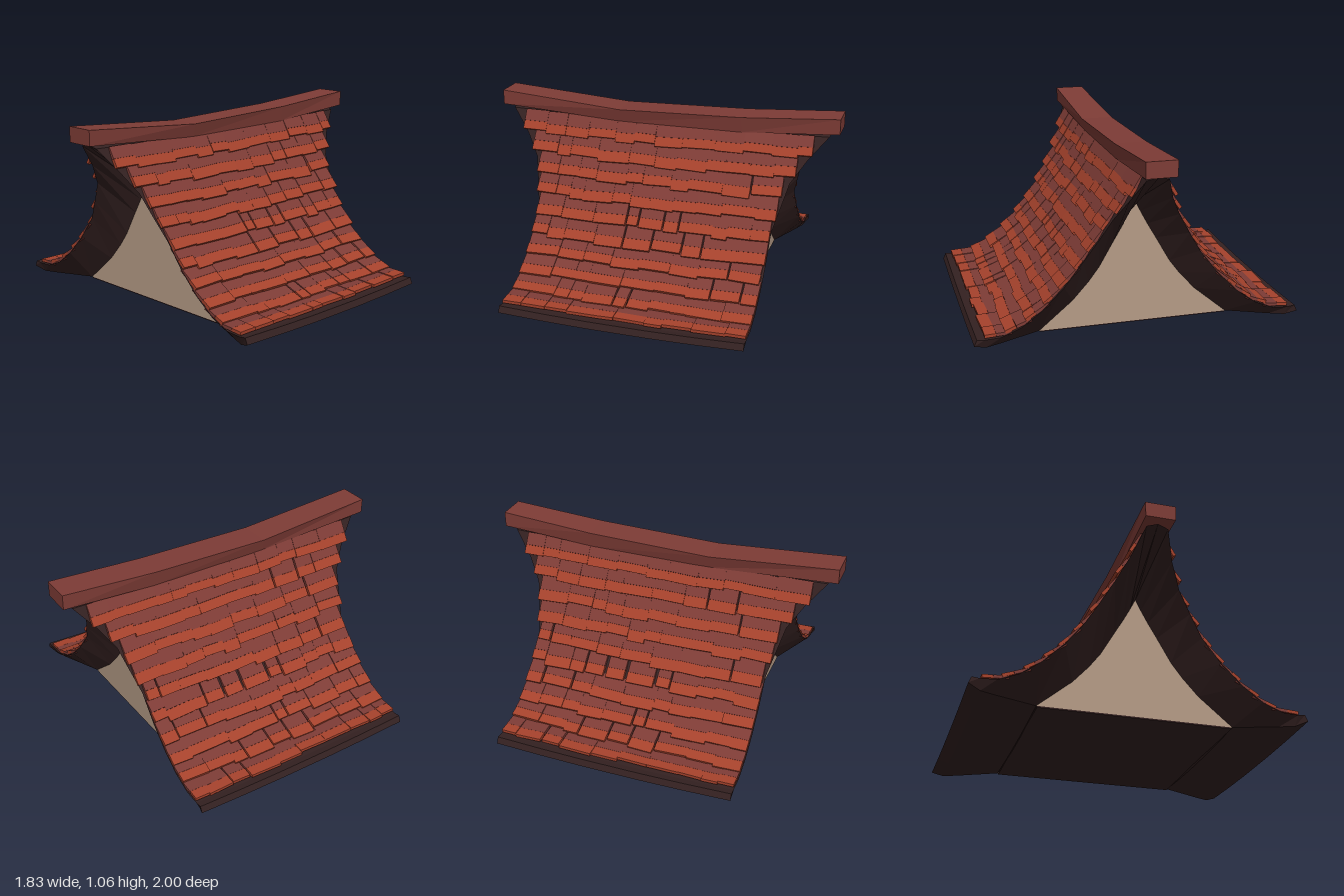
import * as THREE from 'three';
import { mergeGeometries } from 'three/addons/utils/BufferGeometryUtils.js';

const mat = (name, color, extra = {}) => {
  const m = new THREE.MeshStandardMaterial({ color, ...extra });
  m.name = name;
  return m;
};

// Half cross-section of the roof shell, ridge to eave
const OUTER = [[0, .945], [.06, .93], [.115, .8], [.18, .68], [.25, .56], [.325, .44],
  [.43, .305], [.55, .185], [.66, .105], [.77, .06], [.86, .055], [.9, .06]];
const INNER = [[0, .705], [.03, .645], [.07, .57], [.12, .485], [.2, .345], [.26, .265],
  [.35, .165], [.54, .006], [.66, .003], [.77, 0], [.85, 0], [.915, .025]];
// Line the tiles follow, stopping short of the eave
const TILE_PATH = [...OUTER.slice(1, -2), [.85, .055]];
// Half depth of the roof by height: the gable ends flare out towards the ridge
const FLARE = [[0, .69], [.44, .692], [.68, .755], [.8, .835], [.96, .965]];
const SAG = .015;
const WALL_Z = .54;

function halfDepth(y) {
  for (let i = 1; i < FLARE.length; i++) {
    const [y0, z0] = FLARE[i - 1], [y1, z1] = FLARE[i];
    if (y <= y1) return z0 + (z1 - z0) * Math.max(0, (y - y0) / (y1 - y0));
  }
  return FLARE[FLARE.length - 1][1];
}

const mirrored = half => [...half.slice(1).reverse().map(([x, y]) => [-x, y]), ...half];

// Joins rings (back to front, clockwise seen from the front) and closes both ends
function loft(rings) {
  const pos = [], n = rings[0].length;
  const quad = (a, b, c, d) => [a, b, c, a, c, d].forEach(p => pos.push(...p));
  for (let j = 0; j < rings.length - 1; j++) {
    const r0 = rings[j], r1 = rings[j + 1];
    for (let k = 0; k < n; k++) {
      const l = (k + 1) % n;
      quad(r0[k], r1[k], r1[l], r0[l]);
    }
  }
  const back = rings[0], front = rings[rings.length - 1];
  for (let i = 0; i < n / 2 - 1; i++) {
    quad(front[n - 1 - i], front[n - 2 - i], front[i + 1], front[i]);
    quad(back[i], back[i + 1], back[n - 2 - i], back[n - 1 - i]);
  }
  const g = new THREE.BufferGeometry();
  g.setAttribute('position', new THREE.Float32BufferAttribute(pos, 3));
  g.computeVertexNormals();
  return g;
}

// The end faces slope inwards from the flared rim to the gable wall
function shellGeometry() {
  const innerDepth = x => WALL_Z + .15 * Math.max(0, (Math.abs(x) - .54) / .375);
  const ring = [
    ...mirrored(OUTER).map(([x, y]) => [x, y, halfDepth(y)]),
    ...mirrored(INNER).reverse().map(([x, y]) => [x, y, innerDepth(x)]),
  ];
  return loft([-1, -.6, -.25, .25, .6, 1].map(t =>
    ring.map(([x, y, z]) => [x, y + SAG * t * t, t * z])));
}

function ridgeGeometry() {
  // z, bottom, top, half width at top, half width at bottom
  const stations = [[-1, .97, 1.058, .085, .083], [-.45, .93, 1.02, .09, .075],
    [.27, .925, 1.0, .092, .072], [1, .968, 1.053, .085, .083]];
  return loft(stations.map(([z, b, t, wt, wb]) =>
    [[-wt, t, z], [wt, t, z], [wb, b, z], [-wb, b, z]]));
}

const segment = i => Math.hypot(TILE_PATH[i][0] - TILE_PATH[i - 1][0], TILE_PATH[i][1] - TILE_PATH[i - 1][1]);

// Point at a distance along the tiled slope
function slopeAt(s) {
  let i = 1;
  while (i < TILE_PATH.length - 1 && s > segment(i)) s -= segment(i++);
  return new THREE.Vector2(...TILE_PATH[i - 1]).lerp(new THREE.Vector2(...TILE_PATH[i]), s / segment(i));
}

// Overlapping rows of uneven tiles; each has a dark upper part and a bright lower part
function tileGeometries() {
  let seed = 7;
  const rand = () => (seed = (seed * 16807) % 2147483647) / 2147483647;
  const upper = [], lower = [];
  const rows = 10, thick = .018;
  const step = TILE_PATH.slice(1).reduce((sum, p, i) => sum + segment(i + 1), 0) / rows;
  for (const side of [1, -1]) for (let r = 0; r < rows; r++) {
    const mid = slopeAt((r + .5) * step);
    const depth = halfDepth(mid.y) - .004 - .07 * Math.max(0, mid.y - .45);
    let z = -depth;
    while (z < depth - .001) {
      let w = .08 + rand() * .12;
      if (depth - z - w < .07) w = depth - z;
      const gap = rand() < .12 ? .018 : 0;
      const zc = z + w / 2, t = zc / depth, lift = rand() * .006;
      const a = slopeAt(Math.max(0, (r - .15) * step));
      const b = slopeAt((r + 1) * step + (rand() - .5) * .025);
      const d = b.clone().sub(a);
      const len = d.length();
      d.normalize();
      const n = new THREE.Vector2(-d.y, d.x);
      a.addScaledVector(n, -.001);
      b.addScaledVector(n, .015 + lift);
      d.copy(b).sub(a).normalize();
      n.set(-d.y, d.x);
      const X = new THREE.Vector3(n.x * side, n.y, 0), Y = new THREE.Vector3(d.x * side, d.y, 0);
      const basis = new THREE.Matrix4().makeBasis(X, Y, new THREE.Vector3().crossVectors(X, Y));
      // slight skew of each tile within the slope
      basis.multiply(new THREE.Matrix4().makeRotationX((rand() - .5) * .08));
      for (const [list, from, to] of [[upper, 0, .58], [lower, .58, 1]]) {
        const g = new THREE.BoxGeometry(thick, len * (to - from), w - gap);
        const c = a.clone().lerp(b, (from + to) / 2);
        g.applyMatrix4(basis);
        g.translate(c.x * side, c.y + SAG * t * t, zc);
        list.push(g);
      }
      z += w;
    }
  }
  return [mergeGeometries(upper), mergeGeometries(lower)];
}

export function createModel() {
  const model = new THREE.Group();
  model.name = 'tiledRoof';
  const timber = mat('darkTimber', 0x342121);
  const maroon = mat('maroonClay', 0x7e3c36);
  const orange = mat('orangeClay', 0xa6422c);
  const plaster = mat('plaster', 0xb59b86, { side: THREE.DoubleSide });
  const add = (name, geometry, material) => {
    const m = new THREE.Mesh(geometry, material);
    m.name = name;
    model.add(m);
    return m;
  };

  add('roofShell', shellGeometry(), timber);
  add('ridgeBeam', ridgeGeometry(), maroon);
  const [upper, lower] = tileGeometries();
  add('tileUpperParts', upper, maroon);
  add('tileLowerParts', lower, orange);

  // Gable walls at both ends, meeting the inner edge of the shell
  const outline = mirrored(INNER.slice(0, 8)).map(([x, y]) => new THREE.Vector2(x, y + SAG));
  const wall = new THREE.ShapeGeometry(new THREE.Shape(outline));
  add('frontGableWall', wall, plaster).position.z = WALL_Z;
  const back = add('backGableWall', wall, plaster);
  back.position.z = -WALL_Z;
  back.rotation.y = Math.PI;

  // Flat underside between the eaves
  const floor = add('underside', new THREE.BoxGeometry(1.07, .008, WALL_Z * 2 - .004), timber);
  floor.position.y = .018;
  return model;
}
